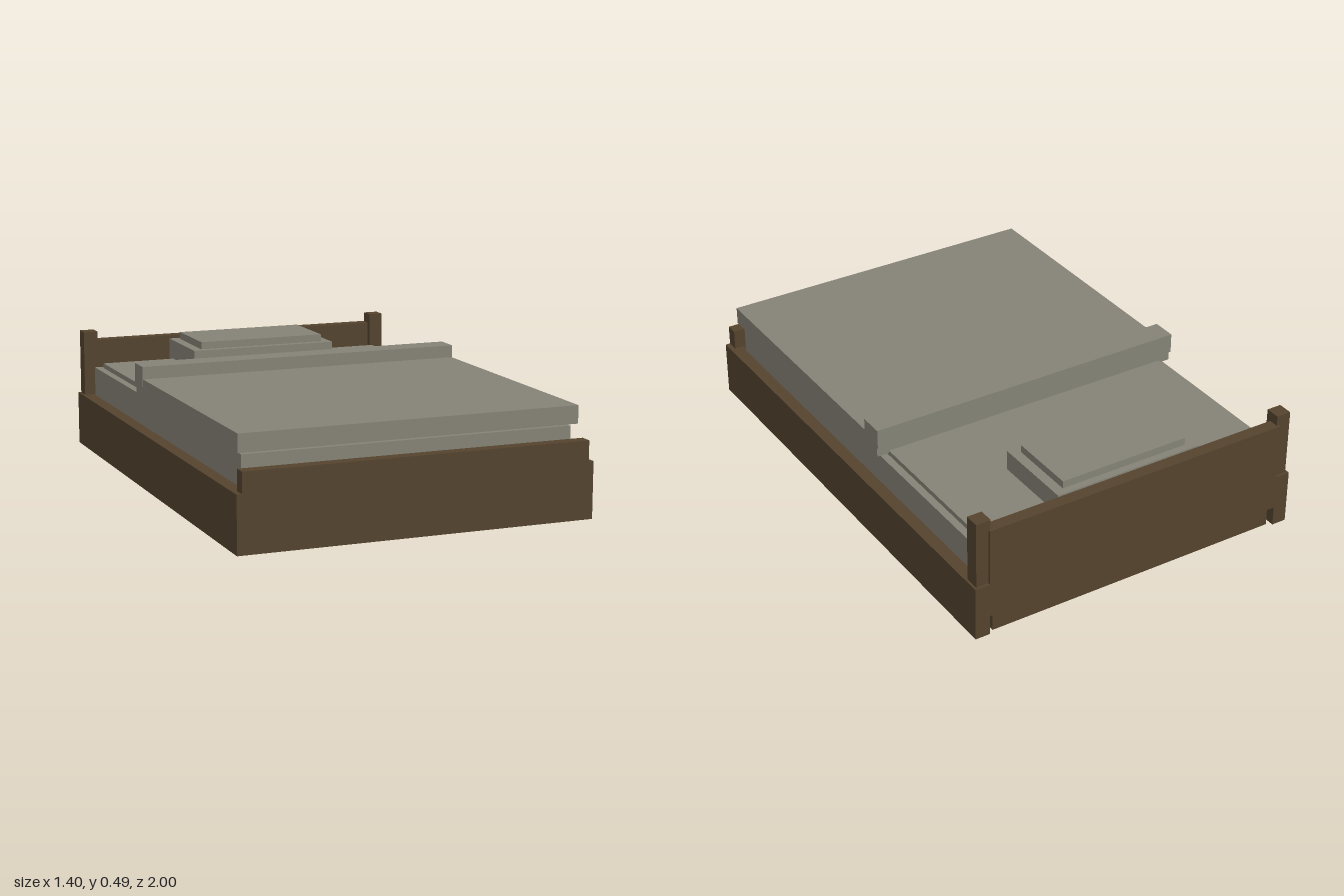
import * as THREE from 'three';

const wood = new THREE.MeshStandardMaterial({ name: 'darkWood', color: 0x54432e });
const fabric = new THREE.MeshStandardMaterial({ name: 'greyLinen', color: 0x858376 });

// Box given by its extents along each axis
function block(name, material, [x0, x1], [y0, y1], [z0, z1]) {
  const mesh = new THREE.Mesh(new THREE.BoxGeometry(x1 - x0, y1 - y0, z1 - z0), material);
  mesh.position.set((x0 + x1) / 2, (y0 + y1) / 2, (z0 + z1) / 2);
  mesh.name = name;
  return mesh;
}

// Box centred on x = 0
const centred = (name, material, half, y, z) => block(name, material, [-half, half], y, z);

export function createModel() {
  const bed = new THREE.Group();
  bed.name = 'bed';

  // Wooden frame
  const frame = new THREE.Group();
  frame.name = 'frame';
  for (const [side, s] of [['left', 1], ['right', -1]]) {
    const span = (a, b) => (s > 0 ? [a, b] : [-b, -a]);
    frame.add(block(side + 'SideRail', wood, span(0.64, 0.7), [0, 0.22], [-1, 1]));
    frame.add(block(side + 'HeadPost', wood, span(0.63, 0.69), [0.22, 0.49], [-0.99, -0.93]));
  }
  frame.add(
    centred('headboard', wood, 0.64, [0.08, 0.45], [-1, -0.95]),
    centred('headCrossRail', wood, 0.62, [0, 0.22], [-0.985, -0.935]),
    centred('footboardBase', wood, 0.64, [0, 0.22], [0.95, 1]),
    centred('footboardTop', wood, 0.68, [0.22, 0.3], [0.95, 1]),
    centred('footCrossRail', wood, 0.62, [0, 0.22], [0.93, 0.95]),
  );

  // Mattress and covers
  const bedding = new THREE.Group();
  bedding.name = 'bedding';
  bedding.add(
    centred('mattress', fabric, 0.65, [0.22, 0.34], [-0.91, 0.91]),
    centred('mattressTop', fabric, 0.62, [0.34, 0.36], [-0.88, 0.88]),
    centred('blanket', fabric, 0.67, [0.35, 0.42], [-0.25, 0.93]),
    centred('blanketFold', fabric, 0.672, [0.39, 0.47], [-0.26, -0.16]),
    centred('pillow', fabric, 0.31, [0.345, 0.44], [-0.93, -0.59]),
    centred('pillowTop', fabric, 0.27, [0.44, 0.47], [-0.9, -0.62]),
  );

  bed.add(frame, bedding);
  return bed;
}
